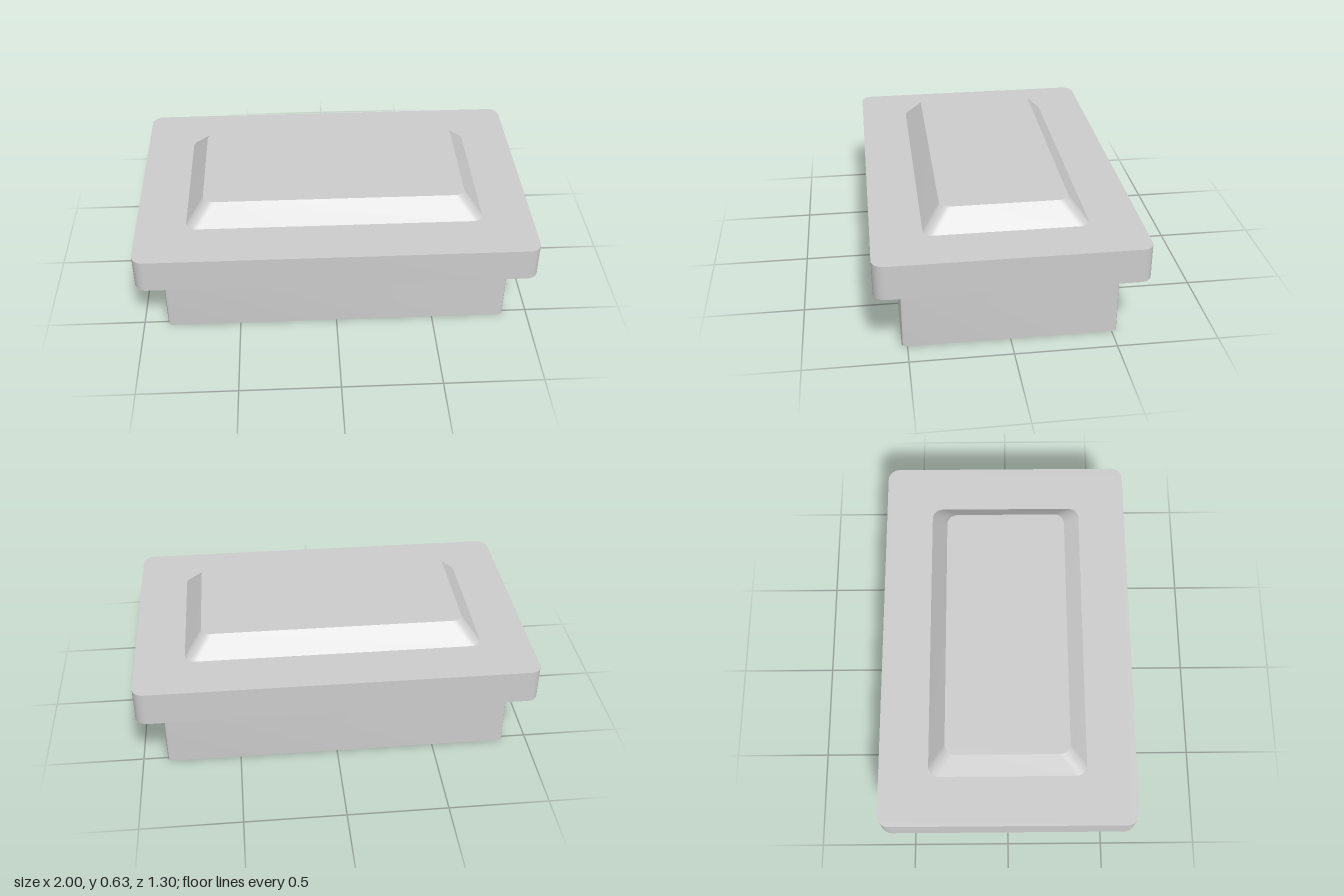
import * as THREE from 'three';
import { toCreasedNormals } from 'three/addons/utils/BufferGeometryUtils.js';

const material = new THREE.MeshStandardMaterial({ color: 0xcccccc });

// Rectangle with rounded corners (segments = 1 gives a chamfer)
function outline(halfX, halfZ, r) {
  const x = halfX - r, z = halfZ - r;
  const s = new THREE.Shape();
  s.absarc(x, z, r, 0, Math.PI / 2);
  s.absarc(-x, z, r, Math.PI / 2, Math.PI);
  s.absarc(-x, -z, r, Math.PI, Math.PI * 1.5);
  s.absarc(x, -z, r, Math.PI * 1.5, Math.PI * 2);
  s.closePath();
  return s;
}

// Upright slab from y0 to y1; its upper outline is drawn in by inset
function slab(name, halfX, halfZ, r, segments, y0, y1, inset = 0) {
  const geo = new THREE.ExtrudeGeometry(outline(halfX, halfZ, r), {
    depth: y1 - y0, bevelEnabled: false, curveSegments: segments,
  });
  geo.rotateX(-Math.PI / 2);
  const p = geo.attributes.position;
  for (let i = 0; i < p.count; i++) {
    if (p.getY(i) > (y1 - y0) / 2) {
      p.setX(i, p.getX(i) - Math.sign(p.getX(i)) * inset);
      p.setZ(i, p.getZ(i) - Math.sign(p.getZ(i)) * inset);
    }
  }
  geo.translate(0, y0, 0);
  const mesh = new THREE.Mesh(toCreasedNormals(geo, 0.5), material);
  mesh.name = name;
  return mesh;
}

export function createModel() {
  const group = new THREE.Group();
  group.name = 'plugCap';
  group.add(
    // Lower block with chamfered corners
    slab('base', 0.875, 0.527, 0.018, 1, 0, 0.355),
    // Wide rim with rounded corners
    slab('flange', 1, 0.65, 0.06, 8, 0.355, 0.53),
    // Raised panel with sloping sides
    slab('raisedPanel', 0.75, 0.4, 0.055, 8, 0.53, 0.632, 0.087),
  );
  return group;
}
